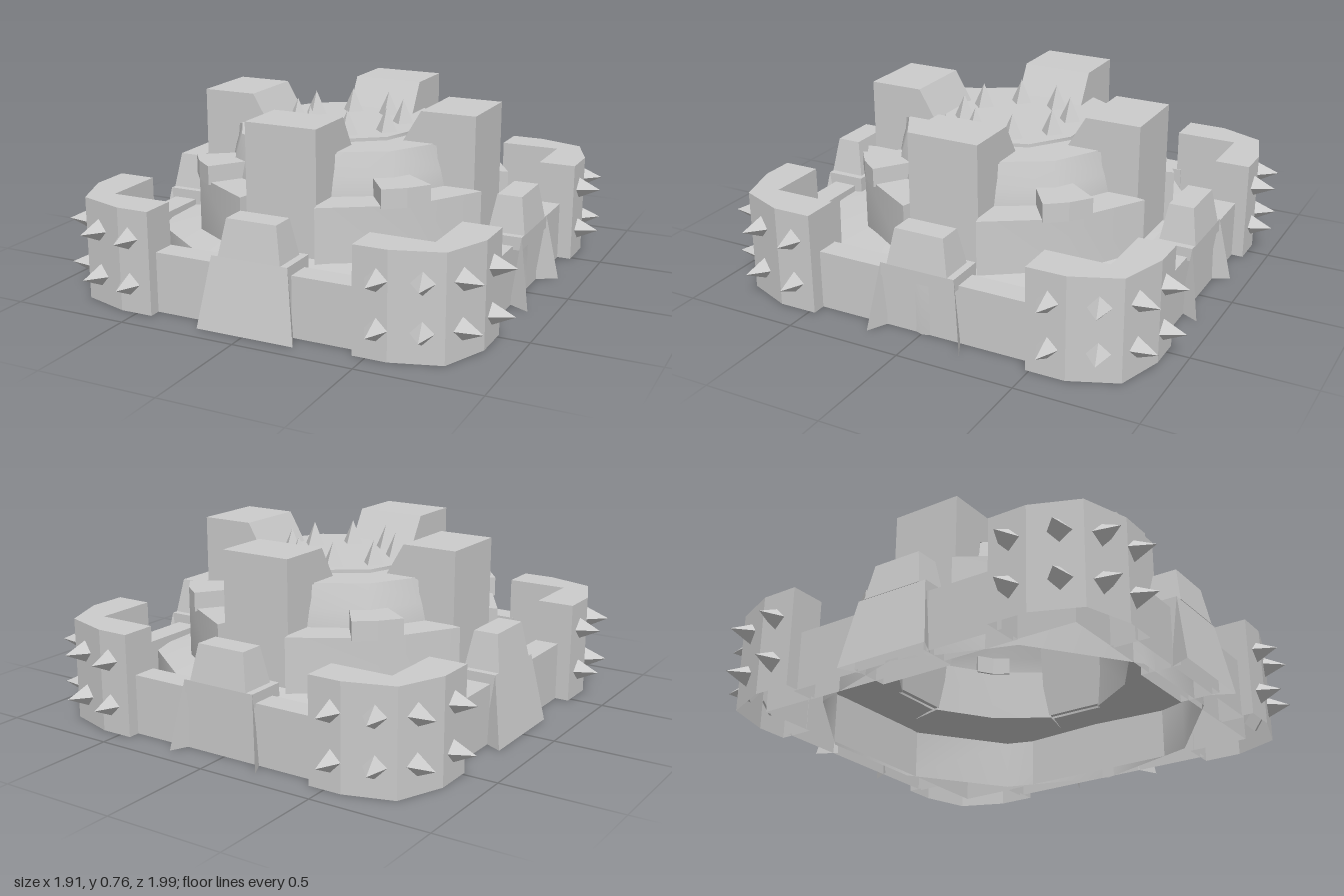
import * as THREE from 'three';
import { toCreasedNormals } from 'three/addons/utils/BufferGeometryUtils.js';

const flat = new THREE.MeshStandardMaterial({ color: 0xcccccc, flatShading: true });
const thin = new THREE.MeshStandardMaterial({ color: 0xcccccc, flatShading: true, side: THREE.DoubleSide });
const smooth = new THREE.MeshStandardMaterial({ color: 0xcccccc, side: THREE.DoubleSide });

function add(parent, name, geometry, material = flat) {
  const mesh = new THREE.Mesh(geometry, material);
  mesh.name = name;
  parent.add(mesh);
  return mesh;
}

// Box between two corners
function block(x0, x1, y0, y1, z0, z1) {
  return new THREE.BoxGeometry(x1 - x0, y1 - y0, z1 - z0)
    .translate((x0 + x1) / 2, (y0 + y1) / 2, (z0 + z1) / 2);
}

// Box centred on z whose bottom and top have their own half sizes
function taper(y0, y1, z, [w0, d0], [w1, d1]) {
  const geo = new THREE.BoxGeometry(2, 1, 2);
  const p = geo.attributes.position;
  for (let i = 0; i < p.count; i++) {
    const top = p.getY(i) > 0;
    p.setXYZ(i, p.getX(i) * (top ? w1 : w0), top ? y1 : y0, z + p.getZ(i) * (top ? d1 : d0));
  }
  geo.computeVertexNormals();
  return geo;
}

// Flat-sided surface from triangles given as points
function triangles(points) {
  const geo = new THREE.BufferGeometry().setFromPoints(points);
  geo.computeVertexNormals();
  return geo;
}

// Leaves out the faces lying on the ground
function openBelow(source) {
  const geo = source.index ? source.toNonIndexed() : source;
  const kept = [];
  for (let i = 0; i < geo.attributes.position.count; i += 3) {
    const tri = [0, 1, 2].map((k) => new THREE.Vector3().fromBufferAttribute(geo.attributes.position, i + k));
    if (tri.some((v) => v.y > 0.001)) kept.push(...tri);
  }
  return triangles(kept);
}

// Faceted ring turned around the y axis
function turned(profile, sides, startDeg) {
  const points = profile.map(([r, y]) => new THREE.Vector2(r, y));
  const geo = new THREE.LatheGeometry(points, sides, THREE.MathUtils.degToRad(startDeg), Math.PI * 2);
  return toCreasedNormals(geo, 0.7);
}

// Outline in x and z raised from y0 to y1
function raised(outline, y0, y1) {
  const shape = new THREE.Shape(outline.map(([x, z]) => new THREE.Vector2(x, -z)));
  return new THREE.ExtrudeGeometry(shape, { depth: y1 - y0, bevelEnabled: false })
    .rotateX(-Math.PI / 2).translate(0, y0, 0);
}

const at = (deg, r) => [r * Math.cos(deg * Math.PI / 180), r * Math.sin(deg * Math.PI / 180)];
const spikeShape = () => new THREE.ConeGeometry(0.053, 0.11, 4).translate(0, 0.04, 0);

export function createModel() {
  const root = new THREE.Group();
  const model = new THREE.Group();
  model.name = 'fortress';
  model.position.set(0.008, 0, -0.004);
  root.add(model);

  // Hollow base and dome
  add(model, 'baseRing', turned([[0.81, 0], [0.81, 0.22], [0.6, 0.24]], 10, 18), smooth);
  add(model, 'dome', turned([[0.54, 0.23], [0.525, 0.46], [0.51, 0.53], [0.48, 0.63], [0, 0.632]], 12, 15), smooth);
  add(model, 'domeCap', turned([[0.315, 0.63], [0.315, 0.645], [0, 0.645]], 10, 18), smooth);

  // Crown of spikes on the dome
  for (let i = 0; i < 8; i++) {
    const [x, z] = at((i + 0.5) * 45, 0.225);
    add(model, 'domeSpike', spikeShape()).position.set(x, 0.65, z);
  }

  // One quarter of the tower, buttress, wall and gate for each side
  for (let i = 0; i < 4; i++) {
    const side = new THREE.Group();
    side.name = ['frontSide', 'leftSide', 'backSide', 'rightSide'][i];
    side.rotation.y = i * Math.PI / 2;
    model.add(side);
    const across = i % 2 === 1;
    const shift = [0.01, -0.035, 0, -0.05][i];

    // Tower wall between two buttresses, with a merlon on its corner
    add(side, 'towerWall', toCreasedNormals(raised([at(14, 0.68), at(45, 0.665), at(76, 0.68),
      at(76, 0.52), at(45, 0.5), at(14, 0.52)], 0.23, 0.46), 0.7), smooth);
    add(side, 'merlon', raised([at(36, 0.66), at(45, 0.665), at(54, 0.66),
      at(54, 0.48), at(45, 0.49), at(36, 0.48)], 0.45, 0.53));

    // Buttress leaning on the dome, with a sloped inner top, profile in z and y
    const profile = [[0.5, 0.24], [0.625, 0.24], [0.625, 0.76], [0.39, 0.76], [0.31, 0.625], [0.46, 0.625]];
    const shape = new THREE.Shape(profile.map(([z, y]) => new THREE.Vector2(-z, y)));
    add(side, 'buttress', new THREE.ExtrudeGeometry(shape, { depth: 0.31, bevelEnabled: false })
      .rotateY(Math.PI / 2).translate(-0.155, 0, 0));

    const reach = across ? 0.5 : 0.46;
    const inner = across ? 0.695 : 0.745;
    add(side, 'curtainWall', openBelow(block(-reach, reach, 0, 0.25, inner, inner + 0.105)), thin);

    // Straight gate block; two of the four are only a lintel with fins
    const lintelOnly = i === 1 || i === 2;
    const front = 0.87 + shift;
    add(side, 'gate', openBelow(block(-0.165, 0.165, lintelOnly ? 0.235 : 0, 0.29, 0.7 + shift, front)), thin);
    const point = (x, y, z) => new THREE.Vector3(x, y, z);
    const flare = [1, -1].map((s) => [point(0.165 * s, 0.29, front), point(0.21 * s, 0, front + 0.05), point(0.165 * s, 0, front - 0.04)]);
    for (const fin of flare) add(side, 'gateFin', triangles(fin), thin);
    if (!lintelOnly) {
      const [[topL, footL], [topR, footR]] = flare;
      add(side, 'gatePlate', triangles([topR, footR, footL, topR, footL, topL]), thin);
    }
    add(side, 'gateTop', taper(0.29, 0.44, 0.795 + shift, [0.135, 0.077], [0.108, 0.052]));
  }

  // Corner bastions with spikes on their outer faces
  for (const sx of [1, -1]) for (const sz of [1, -1]) {
    const corner = new THREE.Group();
    corner.name = (sz > 0 ? 'front' : 'back') + (sx > 0 ? 'Left' : 'Right') + 'Bastion';
    model.add(corner);
    const outline = [[0.44, 0.9], [0.58, 0.9], [0.78, 0.838], [0.86, 0.645], [0.86, 0.48],
      [0.7, 0.48], [0.7, 0.747], [0.44, 0.747]].map(([x, z]) => [x * sx, z * sz]);
    add(corner, 'bastionWall', openBelow(raised(outline, 0, 0.43)), thin);
    const spots = [[0.535, 0.9, 0, 1], [0.7, 0.863, 0.25, 0.97], [0.815, 0.755, 0.95, 0.3], [0.86, 0.57, 1, 0]];
    for (const [x, z, nx, nz] of spots) for (const y of [0.12, 0.31]) {
      const spike = add(corner, 'bastionSpike', spikeShape().rotateX(Math.PI / 2));
      spike.position.set(x * sx, y, z * sz);
      spike.rotation.y = Math.atan2(nx * sx, nz * sz);
    }
  }
  return root;
}
